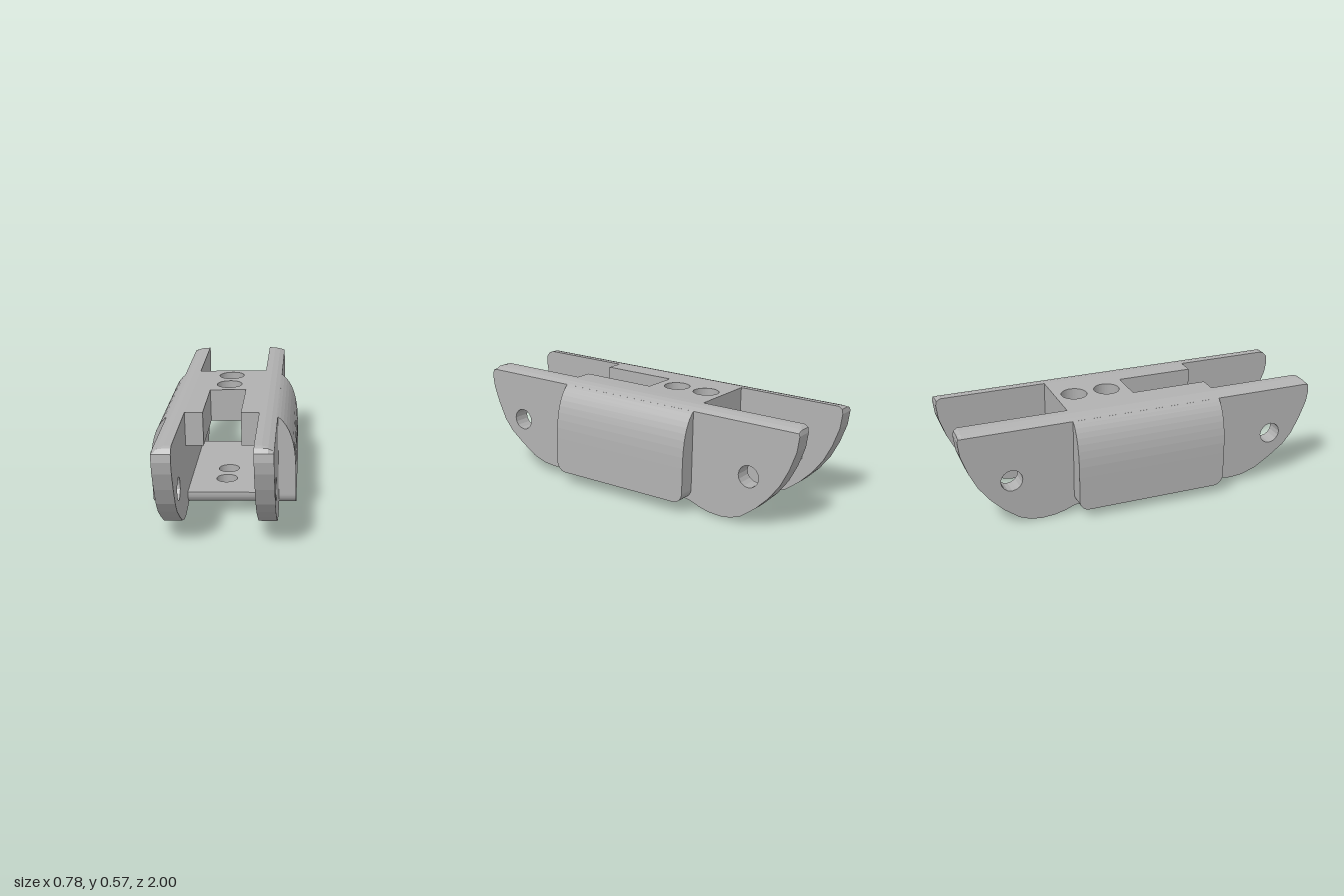
import * as THREE from 'three';

const INNER = 0.19, EAR = 0.283, OUTER = 0.372; // half-width limits of the walls
const TOP = 0.558, BASE = 0.06;
const BACK = -0.39, FRONT = 0.435;              // length of the thick middle body
const CORNER = 0.055;

// height of the rounded shoulder at a given distance from the centre line
function shoulder(x) {
  const t = Math.min(1, Math.max(0, (Math.abs(x) - 0.2) / (OUTER - 0.2)));
  return 0.25 + (TOP - 0.25) * Math.pow(1 - Math.pow(t, 2.4), 1 / 2.4);
}

// extrude a (z, y) outline sideways from x0 to x1, trimming its top to the shoulder
function wall(shape, x0, x1, steps, side) {
  const depth = x1 - x0;
  const geo = new THREE.ExtrudeGeometry(shape, { depth, steps, bevelEnabled: false, curveSegments: 8 });
  geo.rotateY(-Math.PI / 2);
  geo.translate(side > 0 ? x1 : -x0, 0, 0);
  const p = geo.attributes.position;
  for (let i = 0; i < p.count; i++) {
    // concentrate the slices towards the steep outer edge
    const t = (Math.abs(p.getX(i)) - x0) / depth;
    const x = x0 + depth * Math.sin(Math.min(1, Math.max(0, t)) * Math.PI / 2);
    p.setX(i, side * x);
    p.setY(i, Math.min(p.getY(i), shoulder(x)));
  }
  geo.computeVertexNormals();
  return geo;
}

// extrude an (x, z) outline upward from y0 to y1
function slab(shape, y0, y1, steps = 1) {
  const geo = new THREE.ExtrudeGeometry(shape, { depth: y1 - y0, steps, bevelEnabled: false, curveSegments: 24 });
  geo.rotateX(-Math.PI / 2); // outline y becomes -z
  geo.translate(0, y0, 0);
  return geo;
}

function polygon(points) {
  return new THREE.Shape(points.map(([a, b]) => new THREE.Vector2(a, b)));
}

function addHole(shape, a, b, r) {
  const hole = new THREE.Path();
  hole.absarc(a, b, r, 0, Math.PI * 2, true);
  shape.holes.push(hole);
}

export function createModel() {
  const grey = new THREE.MeshStandardMaterial({ color: 0xb0b0b0 });
  grey.name = 'grey';
  const bracket = new THREE.Group();
  bracket.name = 'bracket';
  const add = (name, geo) => {
    const mesh = new THREE.Mesh(geo, grey);
    mesh.name = name;
    bracket.add(mesh);
  };

  // long side plates with a drilled ear at each end
  const plate = polygon([
    [-0.965, TOP], [-0.985, 0.545], [-0.99, 0.52], [-0.98, 0.44], [-0.945, 0.34], [-0.9, 0.25],
    [-0.84, 0.17], [-0.77, 0.1], [-0.69, 0.04], [-0.63, 0.017], [-0.57, 0.01], [-0.5, 0.015],
    [-0.44, 0.03], [-0.39, 0.05], [-0.34, BASE],
    [0.38, BASE], [0.45, 0.047], [0.53, 0.038], [0.6, 0.045], [0.68, 0.072], [0.77, 0.13],
    [0.85, 0.19], [0.9, 0.25], [0.945, 0.34], [0.98, 0.43], [0.99, 0.49], [0.985, 0.53],
    [0.965, 0.55], [0.94, TOP],
  ]);
  addHole(plate, -0.723, 0.259, 0.058);
  addHole(plate, 0.762, 0.273, 0.058);

  // thick cheeks of the middle body, rounded at the lower corners
  const cheek = new THREE.Shape();
  cheek.moveTo(BACK, TOP);
  cheek.lineTo(BACK, BASE + CORNER);
  cheek.absarc(BACK + CORNER, BASE + CORNER, CORNER, Math.PI, Math.PI * 1.5, false);
  cheek.absarc(FRONT - CORNER, BASE + CORNER, CORNER, Math.PI * 1.5, Math.PI * 2, false);
  cheek.lineTo(FRONT, TOP);

  for (const [name, side] of [['left', 1], ['right', -1]]) {
    add(name + 'SidePlate', wall(plate, INNER, EAR, 4, side));
    add(name + 'Cheek', wall(cheek, EAR - 0.002, OUTER, 9, side));
  }

  // top deck: slot open at the front, two round holes behind it
  const deck = polygon([
    [-INNER, -FRONT], [-0.097, -FRONT], [-0.097, -0.015], [0.097, -0.015],
    [0.097, -FRONT], [INNER, -FRONT], [INNER, -BACK], [-INNER, -BACK],
  ]);
  addHole(deck, 0, 0.1, 0.069);
  addHole(deck, 0, 0.285, 0.069);
  add('topDeck', slab(deck, 0.382, TOP));

  // thin floor with two holes and rounded lower ends
  const floor = polygon([[-INNER, -FRONT], [INNER, -FRONT], [INNER, -BACK], [-INNER, -BACK]]);
  addHole(floor, 0, -0.075, 0.056);
  addHole(floor, 0, -0.23, 0.056);
  const floorGeo = slab(floor, BASE, 0.126, 7);
  const p = floorGeo.attributes.position;
  for (let i = 0; i < p.count; i++) {
    const h = Math.max(0, CORNER - (p.getY(i) - BASE));
    const inset = CORNER - Math.sqrt(Math.max(0, CORNER * CORNER - h * h));
    p.setZ(i, Math.min(FRONT - inset, Math.max(BACK + inset, p.getZ(i))));
  }
  floorGeo.computeVertexNormals();
  add('floor', floorGeo);

  // the bracket sits slightly askew
  bracket.rotation.set(-0.005, 0.045, 0.028);
  const model = new THREE.Group();
  model.name = 'model';
  model.add(bracket);
  return model;
}
